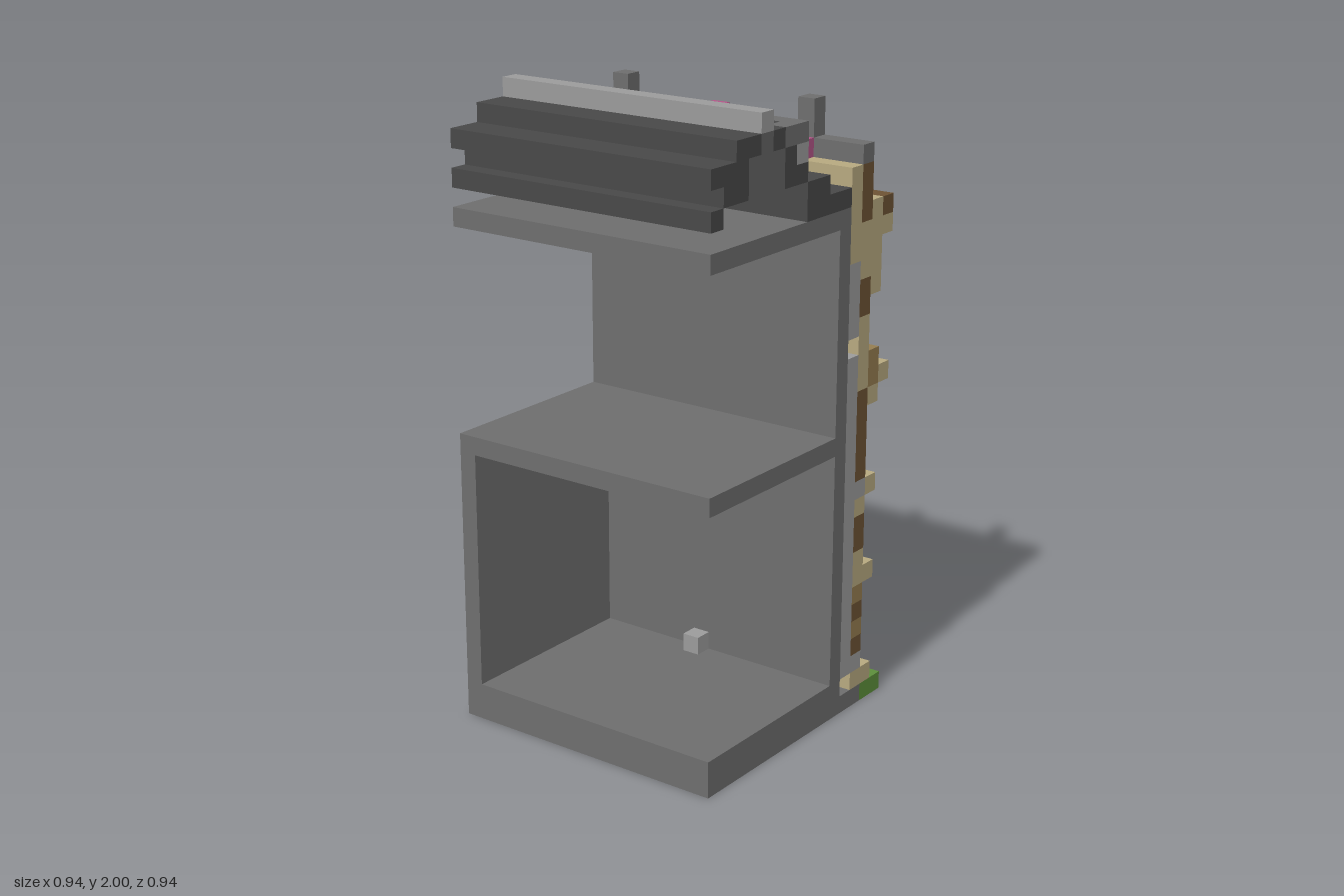
import * as THREE from 'three';

const V = 2 / 34; // one block

const mat = (name, hex) => {
  const m = new THREE.MeshStandardMaterial({ color: hex });
  m.name = name;
  return m;
};

export function createModel() {
  const root = new THREE.Group();
  root.name = 'townhouseFacade';
  const sand = mat('sandstone', 0xb7a980);
  const wood = mat('darkWood', 0x6d5334);
  const tan = mat('tanWood', 0x957d50);
  const stone = mat('greyStone', 0x6e6e6e);
  const pale = mat('paleStone', 0x9b9b9b);
  const slate = mat('slate', 0x484848);
  const pink = mat('pinkFlower', 0xb35588);
  const grass = mat('grass', 0x5c8f3b);

  // Box over inclusive block ranges; ranges are numbers or [from, to], clipped to the plot depth
  const put = (name, m, x, y, z = [0, 15]) => {
    const r = (a) => (Array.isArray(a) ? a : [a, a]);
    const [x0, x1] = r(x), [y0, y1] = r(y);
    const z0 = Math.max(0, r(z)[0]), z1 = Math.min(15, r(z)[1]);
    if (z1 < z0) return;
    const mesh = new THREE.Mesh(
      new THREE.BoxGeometry((x1 - x0 + 1) * V, (y1 - y0 + 1) * V, (z1 - z0 + 1) * V), m);
    mesh.position.set(((x0 + x1 + 1) / 2 - 8) * V, ((y0 + y1 + 1) / 2) * V, ((z0 + z1 + 1) / 2 - 8) * V);
    mesh.name = name;
    root.add(mesh);
  };

  // Ground, floors and inner walls
  put('foundation', stone, [0, 13], 0);
  put('lawn', grass, [14, 15], 0);
  put('groundFloor', stone, [0, 10], 1);
  put('innerWall', stone, 11, [1, 27]);
  put('backWall', stone, [0, 10], [2, 14], 0);
  put('upperFloor', stone, [0, 10], 15);
  put('ceiling', stone, [0, 10], 27);
  put('floorBlock', pale, 10, 2, 7);

  // Outer wall, column by column
  const windows = [3, 9, 15];
  const windowStack = [
    [sand, 1, 1], [pale, 2, 2], [wood, 3, 3], [tan, 4, 4], [wood, 5, 5], [tan, 6, 6], [sand, 7, 8],
    [wood, 9, 10], [sand, 11, 11], [pale, 12, 12], [wood, 13, 17], [sand, 18, 21], [wood, 22, 23], [sand, 24, 26],
  ];
  const gapStack = [[pale, 1, 1], [stone, 2, 2], [sand, 3, 26]];
  const jambStack = [[sand, 1, 26]];
  for (let k = 0; k < 16; k++) {
    const offset = Math.min(...windows.map((w) => Math.abs(w - k)));
    const stack = offset === 0 ? windowStack : offset === 1 ? jambStack : gapStack;
    for (const [m, a, b] of stack) put('outerWall', m, 13, [a, b], k);
    put('attic', k % 6 === 0 ? sand : wood, 13, [28, 29], k);
  }

  // Lining between outer and inner wall
  put('upperLining', sand, 12, [25, 29]);
  put('floorBand', pale, 12, 12);
  for (const w of windows) {
    for (const [a, b] of [[2, 11], [13, 19], [21, 24]]) put('windowLining', pale, 12, [a, b], w);
  }

  // Window surrounds, lintels, flower shelves
  for (const w of windows) {
    for (const k of [w - 1, w + 1]) {
      put('doorJamb', sand, 14, [1, 7], k);
      put('windowJamb', sand, 14, [13, 16], k);
      put('topWindowJamb', sand, 14, [21, 23], k);
      put('shelfSide', tan, 14, 18, k);
    }
    put('doorStep', sand, 14, 1, w);
    put('doorLintel', sand, 14, 7, w);
    put('windowLintel', sand, 14, 17, [w - 1, w + 1]);
    put('topWindowLintel', sand, 14, 23, w);
    put('shelf', tan, 14, [18, 19], w);
    put('shelfFront', sand, 15, 18, w);
    for (const j of [17, 21]) put('wallBracket', pale, 14, j, w - 2);
  }

  // Cornices
  put('lowerCornice', sand, 14, 12);
  put('frieze', sand, 14, [24, 27]);
  put('corniceLip', sand, 15, 26);
  put('corniceCap', wood, 15, 27);
  put('corniceBack', wood, 13, 27);

  // Parapet with posts and flowers
  put('parapet', stone, 13, 30);
  for (const k of [0, 6, 12]) {
    put('flower', pink, 12, 30, k);
    if (k === 6) put('flower', pink, 13, 31, k);
    else put('parapetPost', stone, 13, [31, 32], k);
  }

  // Stepped roof
  const courses = [
    [0, 0, 29], [1, 2, 30], [0, 2, 31], [2, 3, 32], [5, 5, 32],
    [6, 6, 31], [6, 7, 30], [8, 9, 29], [8, 11, 28],
  ];
  for (const [a, b, j] of courses) put('roofCourse', slate, [a, b], j);
  put('ridge', pale, 4, 33);

  // Top roof course, with the two dormers let into it
  for (let k = 0; k < 16; k++) {
    const d = Math.min(Math.abs(k - 3), Math.abs(k - 15));
    put('roofTop', d === 0 ? stone : slate, 6, 32, k);
    put('roofTop', d <= 1 ? stone : slate, 7, 32, k);
    if (d <= 1) put('dormer', d === 0 ? pale : stone, 7, 31, k);
  }
  return root;
}
